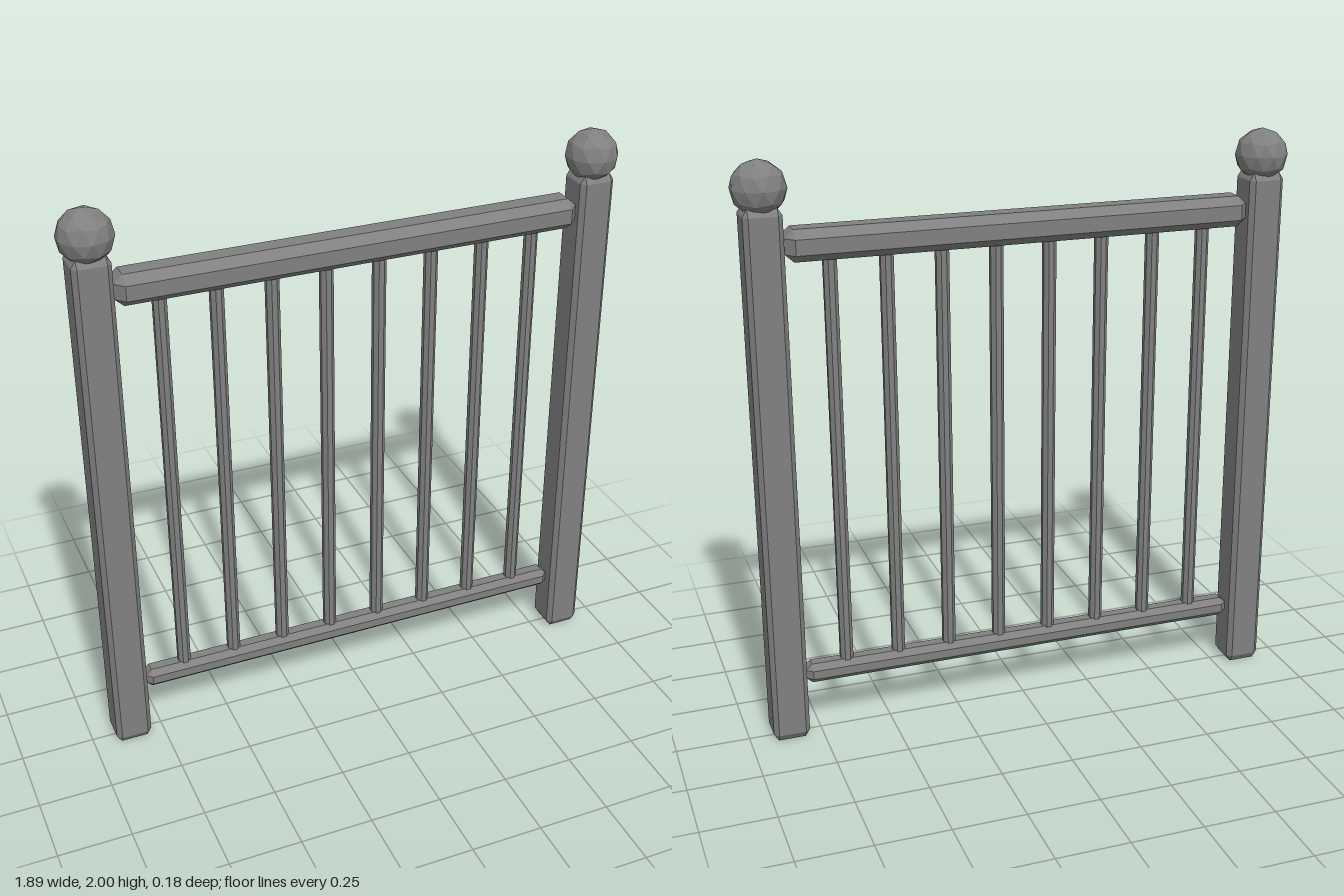
import * as THREE from 'three';
import { ConvexGeometry } from 'three/addons/geometries/ConvexGeometry.js';

// Box with chamfered edges: three points around each corner
function chamferBox(w, h, d, cx, cy, cz) {
  const pts = [];
  for (const sx of [-1, 1]) for (const sy of [-1, 1]) for (const sz of [-1, 1]) {
    const x = w / 2, y = h / 2, z = d / 2;
    pts.push(
      new THREE.Vector3(sx * x, sy * (y - cy), sz * (z - cz)),
      new THREE.Vector3(sx * (x - cx), sy * y, sz * (z - cz)),
      new THREE.Vector3(sx * (x - cx), sy * (y - cy), sz * z)
    );
  }
  return new ConvexGeometry(pts);
}

export function createModel() {
  const group = new THREE.Group();
  const iron = new THREE.MeshStandardMaterial({ color: 0x808080 });
  iron.name = 'grey iron';

  const add = (name, geometry, x, y) => {
    // Facets stay flat through per-face normals
    const flat = geometry.index ? geometry.toNonIndexed() : geometry;
    flat.computeVertexNormals();
    const mesh = new THREE.Mesh(flat, iron);
    mesh.name = name;
    mesh.position.set(x, y, 0);
    group.add(mesh);
  };

  // Posts with faceted ball finials, a corner of each ball pointing up
  const post = chamferBox(0.125, 1.85, 0.125, 0.016, 0.025, 0.016);
  const ball = new THREE.IcosahedronGeometry(0.09, 1);
  ball.rotateZ(Math.atan(2 / (1 + Math.sqrt(5))));
  ball.rotateY(Math.PI);
  for (const [side, s] of [['left', 1], ['right', -1]]) {
    add(side + 'Post', post, s * 0.86, 0.93);
    add(side + 'Finial', ball, s * 0.86, 1.91);
  }

  // Rails between the posts
  add('topRail', chamferBox(1.59, 0.105, 0.125, 0.03, 0.027, 0.032), 0, 1.727);
  add('bottomRail', chamferBox(1.59, 0.07, 0.075, 0.022, 0.02, 0.02), 0, 0.227);

  // Eight slim balusters, ends sunk into the rails
  const baluster = chamferBox(0.044, 1.46, 0.044, 0.013, 0.005, 0.013);
  for (let i = 0; i < 8; i++) add('baluster' + (i + 1), baluster, (i - 3.5) * 0.185, 0.96);

  return group;
}
